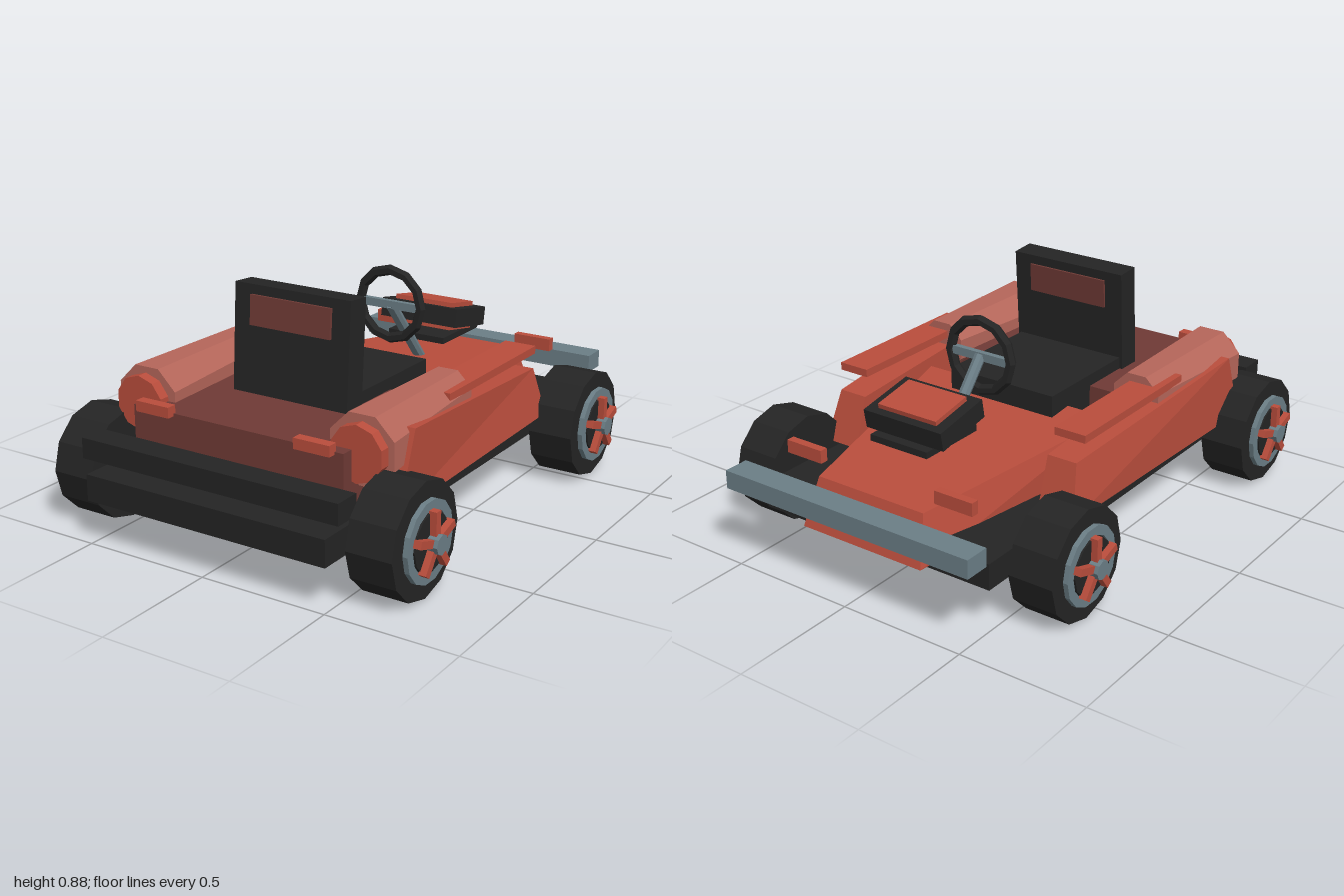
import * as THREE from 'three';

const mat = (name, color) => {
  const m = new THREE.MeshStandardMaterial({ color });
  m.name = name;
  return m;
};

export function createModel() {
  const kart = new THREE.Group();
  kart.name = 'kart';
  const red = mat('red', 0xb94d3c);
  const salmon = mat('salmon', 0xb5665a);
  const maroon = mat('maroon', 0x6f3a35);
  const black = mat('black', 0x242424);
  const grey = mat('grey', 0x6b7e86);

  // Adds a faceted mesh
  const add = (name, geo, material, parent = kart) => {
    const g = geo.index ? geo.toNonIndexed() : geo;
    g.computeVertexNormals();
    const mesh = new THREE.Mesh(g, material);
    mesh.name = name;
    parent.add(mesh);
    return mesh;
  };
  // Box given by its limits on each axis
  const box = (name, material, [x0, x1], [y0, y1], [z0, z1], parent) =>
    add(name, new THREE.BoxGeometry(x1 - x0, y1 - y0, z1 - z0)
      .translate((x0 + x1) / 2, (y0 + y1) / 2, (z0 + z1) / 2), material, parent);
  // Six-sided block whose corners come from a rule on the corner signs
  const block = (name, material, rule) => {
    const geo = new THREE.BoxGeometry(2, 2, 2);
    const p = geo.attributes.position;
    for (let i = 0; i < p.count; i++) p.setXYZ(i, ...rule(p.getX(i), p.getY(i), p.getZ(i)));
    return add(name, geo, material);
  };
  // Cylinder along x, from x0 to x1
  const axial = (name, material, r, x0, x1, sides, parent) =>
    add(name, new THREE.CylinderGeometry(r, r, x1 - x0, sides).rotateZ(-Math.PI / 2)
      .translate((x0 + x1) / 2, 0, 0), material, parent);

  // Floor and bumpers
  box('chassis', black, [-0.505, 0.505], [0.165, 0.265], [-0.84, 1]);
  box('rearBumper', black, [-0.54, 0.54], [0.31, 0.388], [0.87, 0.975]);
  box('frontBumper', grey, [-0.54, 0.54], [0.297, 0.368], [-1, -0.9]);

  // Sloped nose, narrow at the front
  block('hood', red, (sx, sy, sz) => {
    if (sz < 0) return sy < 0 ? [sx * 0.265, 0.19, -0.905] : [sx * 0.235, 0.372, -0.845];
    return sy < 0 ? [sx * 0.42, 0.25, 0.07] : [sx * 0.42, 0.45, 0.02];
  });
  box('rearDeck', maroon, [-0.445, 0.445], [0.28, 0.478], [0.17, 0.8]);

  // Side pods, bars, tanks and lamps on both sides
  for (const s of [1, -1]) {
    const side = s > 0 ? 'left' : 'right';
    const span = (a, b) => (s > 0 ? [a, b] : [-b, -a]);
    block(side + 'Pod', red, (sx, sy, sz) => {
      const outer = sx * s > 0;
      const x = outer ? (sz < 0 ? (sy < 0 ? 0.57 : 0.54) : 0.598) : 0.42;
      const y = sy < 0 ? 0.265 : sz < 0 ? 0.46 : 0.535;
      const z = sz < 0 ? (sy < 0 ? -0.44 : -0.38) : (sy < 0 ? 0.7 : 0.6);
      return [s * x, y, z];
    });
    box(side + 'Bar', red, span(0.43, 0.558), [0.53, 0.56], [-0.355, 0.3]);

    // Tapered octagonal tank with a flat top, its top edge level
    const tank = new THREE.CylinderGeometry(0.137, 0.104, 0.57, 8)
      .rotateY(Math.PI / 8).rotateX(Math.PI / 2);
    const p = tank.attributes.position;
    for (let i = 0; i < p.count; i++) if (p.getZ(i) < 0) p.setY(i, p.getY(i) + 0.03);
    add(side + 'Tank', tank.translate(s * 0.458, 0.464, 0.425), salmon);
    add(side + 'TankCap', new THREE.CylinderGeometry(0.104, 0.104, 0.06, 10)
      .rotateX(Math.PI / 2).translate(s * 0.462, 0.464, 0.722), red);

    box(side + 'RearLamp', red, span(0.265, 0.41), [0.468, 0.508], [0.79, 0.83]);
    box(side + 'FrontLamp', red, span(0.255, 0.415), [0.4, 0.45], [-0.81, -0.778]);
  }

  // Wheels with ring, spokes and hub
  for (const s of [1, -1]) for (const z of [-0.572, 0.728]) {
    const wheel = new THREE.Group();
    wheel.name = (z < 0 ? 'front' : 'rear') + (s > 0 ? 'Left' : 'Right') + 'Wheel';
    wheel.position.set(0, 0.21, z);
    wheel.rotation.y = s > 0 ? 0 : Math.PI;
    kart.add(wheel);
    axial('axle', grey, 0.025, 0, 0.56, 8, wheel);
    axial('tire', black, 0.21, 0.54, 0.717, 12, wheel);
    const ring = [[0.112, 0.71], [0.147, 0.71], [0.147, 0.736], [0.112, 0.736], [0.112, 0.71]]
      .map(([r, y]) => new THREE.Vector2(r, y));
    add('rimRing', new THREE.LatheGeometry(ring, 14).rotateZ(-Math.PI / 2), grey, wheel);
    axial('rimCentre', black, 0.108, 0.71, 0.74, 12, wheel);
    for (let i = 0; i < 5; i++) {
      const spoke = box('spoke', red, [0.735, 0.765], [0.02, 0.115], [-0.014, 0.014], wheel);
      spoke.rotation.x = i * Math.PI * 2 / 5;
    }
    axial('hub', grey, 0.036, 0.72, 0.78, 8, wheel);
  }

  // Seat with a slightly leaning back
  box('seatCushion', black, [-0.235, 0.235], [0.3, 0.525], [-0.085, 0.4]);
  const back = new THREE.Group();
  back.name = 'seatBack';
  back.position.set(0, 0.48, 0.43);
  back.rotation.x = -0.07;
  kart.add(back);
  box('backrest', black, [-0.247, 0.247], [-0.05, 0.398], [-0.048, 0.048], back);
  box('backrestPanel', maroon, [-0.172, 0.172], [0.25, 0.362], [-0.056, 0.06], back);

  // Steering wheel, cross bar and column
  add('steeringWheel', new THREE.TorusGeometry(0.137, 0.021, 6, 12).translate(0, 0.675, -0.208), black);
  box('steeringBar', grey, [-0.125, 0.125], [0.658, 0.69], [-0.22, -0.198]);
  const a = new THREE.Vector3(0, 0.4, -0.44), b = new THREE.Vector3(0, 0.675, -0.21);
  const column = add('steeringColumn', new THREE.CylinderGeometry(0.022, 0.022, a.distanceTo(b), 8), grey);
  column.position.copy(a).add(b).multiplyScalar(0.5);
  column.quaternion.setFromUnitVectors(new THREE.Vector3(0, 1, 0), b.clone().sub(a).normalize());

  // Tilted console box above the hood
  box('consoleBase', black, [-0.127, 0.127], [0.48, 0.505], [-0.688, -0.405]);
  const console_ = new THREE.Group();
  console_.name = 'console';
  console_.position.set(0, 0.566, -0.542);
  console_.rotation.x = -0.185;
  kart.add(console_);
  box('consoleBox', black, [-0.173, 0.173], [-0.037, 0.037], [-0.12, 0.12], console_);
  box('consoleTop', red, [-0.13, 0.13], [0.03, 0.055], [-0.088, 0.088], console_);
  box('consoleUnderside', red, [-0.13, 0.13], [-0.055, -0.03], [-0.088, 0.088], console_);

  return kart;
}
